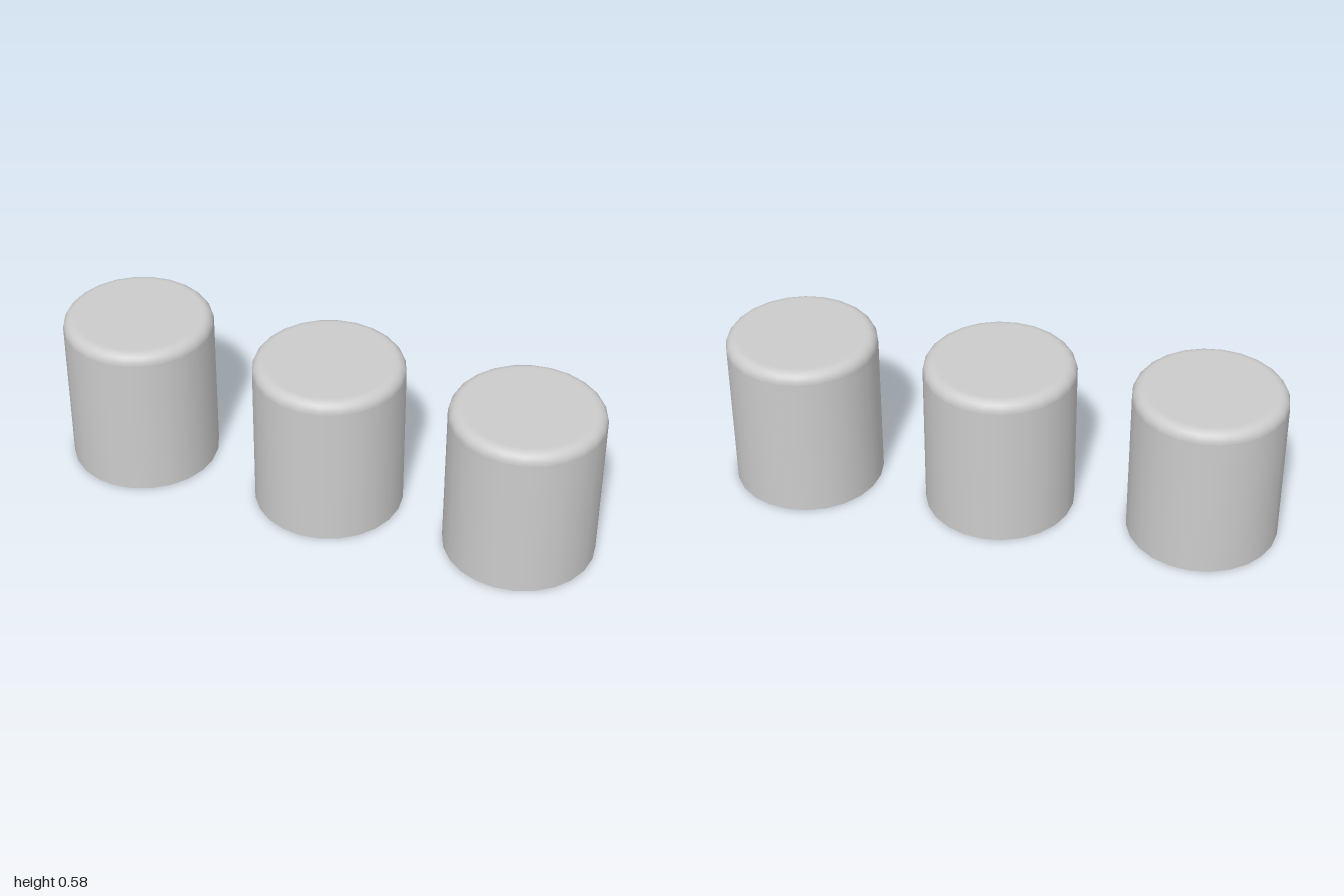
import * as THREE from 'three';

const RADIUS = 0.27, HEIGHT = 0.585, BEVEL = 0.04, SIDES = 24;

export function createModel() {
  const model = new THREE.Group();
  model.name = 'stools';
  const material = new THREE.MeshStandardMaterial({ color: 0xcccccc });
  const wallHeight = HEIGHT - BEVEL;

  // Straight wall, open at the top where the rounded cap sits
  const wallGeometry = new THREE.CylinderGeometry(RADIUS, RADIUS, wallHeight, SIDES, 1, true);
  wallGeometry.translate(0, wallHeight / 2, 0);

  // Flat underside
  const baseGeometry = new THREE.CircleGeometry(RADIUS, SIDES);
  baseGeometry.rotateZ(Math.PI / 2).rotateX(Math.PI / 2);

  // Cap: quarter-round edge running into a flat top
  const profile = [];
  for (let i = 0; i <= 8; i++) {
    const a = (i / 8) * Math.PI / 2;
    profile.push(new THREE.Vector2(RADIUS - BEVEL + BEVEL * Math.cos(a), wallHeight + BEVEL * Math.sin(a)));
  }
  profile.push(new THREE.Vector2(RADIUS - BEVEL - 0.01, HEIGHT), new THREE.Vector2(0, HEIGHT));
  const capGeometry = new THREE.LatheGeometry(profile, SIDES);

  // Three identical drums in a row
  [['right', -0.73], ['middle', 0.008], ['left', 0.73]].forEach(([side, x]) => {
    const drum = new THREE.Group();
    drum.name = `${side}Drum`;
    drum.position.x = x;
    [['wall', wallGeometry], ['base', baseGeometry], ['roundedCap', capGeometry]].forEach(([name, geometry]) => {
      const mesh = new THREE.Mesh(geometry, material);
      mesh.name = name;
      drum.add(mesh);
    });
    model.add(drum);
  });
  return model;
}
